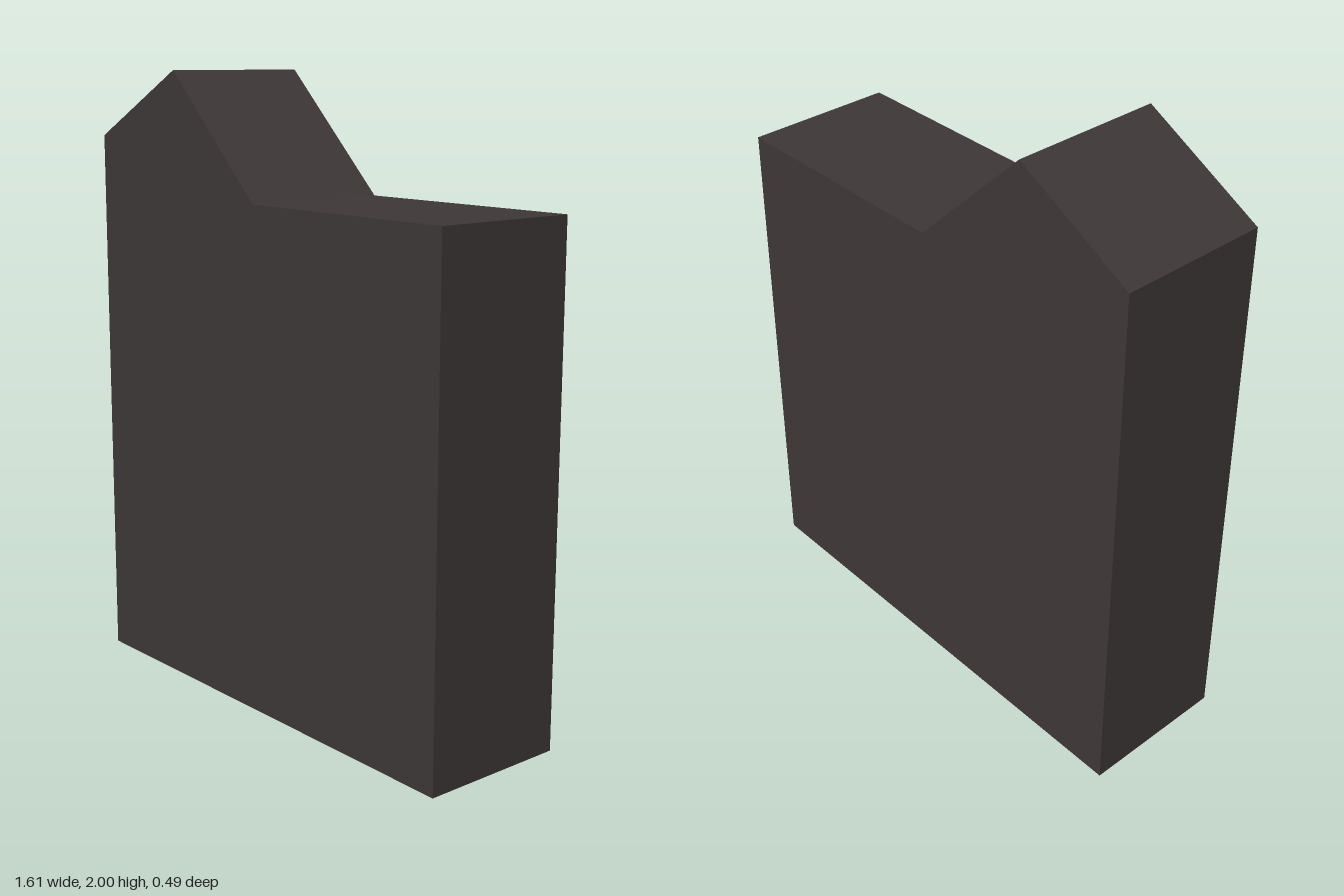
import * as THREE from 'three';

const DEPTH = 0.49;

export function createModel() {
  const model = new THREE.Group();
  model.name = 'peakedSlab';

  const charcoal = new THREE.MeshStandardMaterial({ color: 0x3e3737 });
  charcoal.name = 'charcoal';

  // Front outline: flat shoulder on the left, off-centre peak on the right
  const outline = new THREE.Shape([
    [-0.805, 0], [0.805, 0], [0.805, 1.61], [0, 1.61], [-0.4, 2], [-0.805, 1.785],
  ].map(([x, y]) => new THREE.Vector2(x, y)));

  // Solid slab, centred front to back
  const geometry = new THREE.ExtrudeGeometry(outline, { depth: DEPTH, bevelEnabled: false });
  geometry.translate(0, 0, -DEPTH / 2);

  const slab = new THREE.Mesh(geometry, charcoal);
  slab.name = 'slab';
  model.add(slab);
  return model;
}
